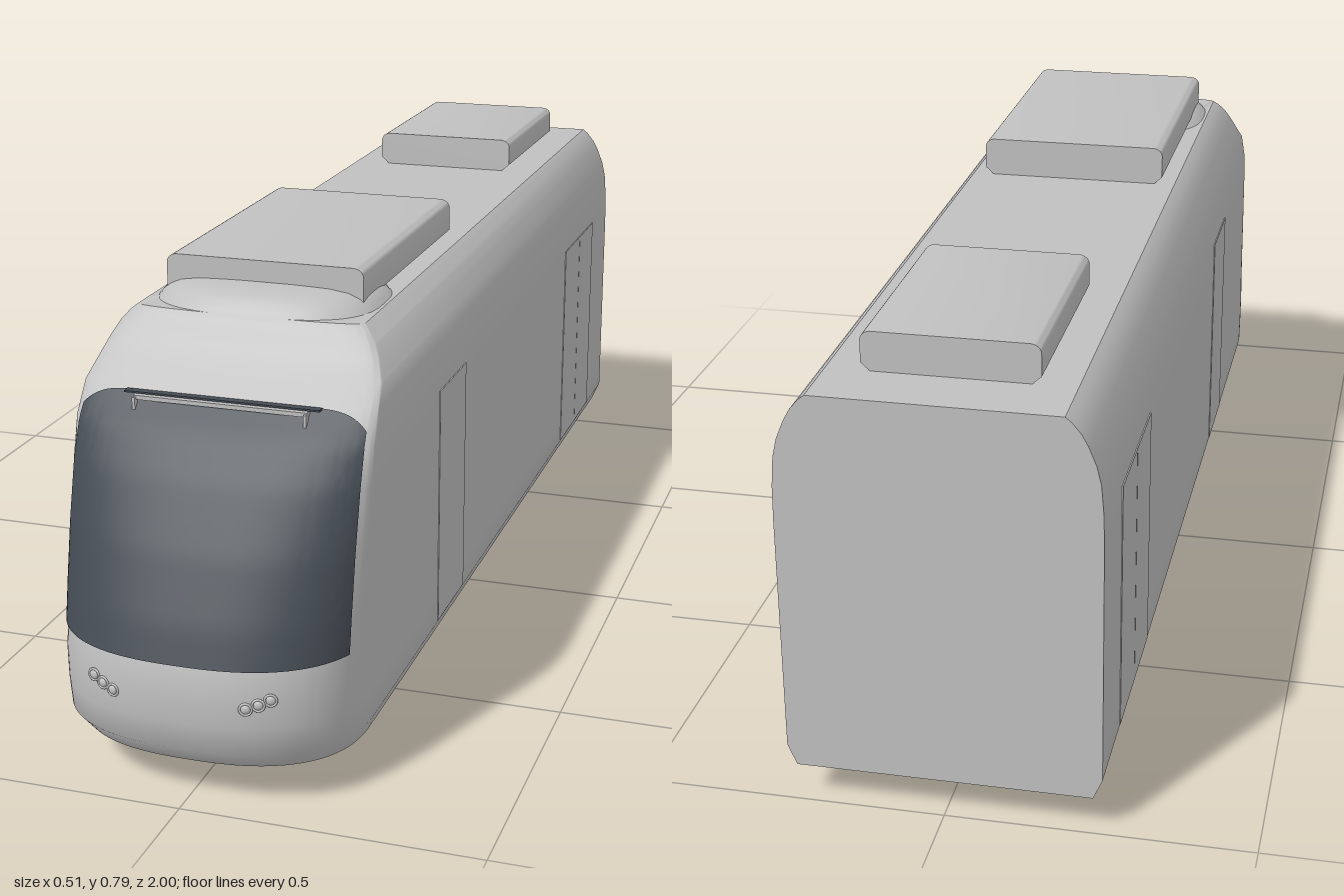
import * as THREE from 'three';
import { toCreasedNormals } from 'three/addons/utils/BufferGeometryUtils.js';

const bodyGrey = new THREE.MeshStandardMaterial({ color: 0xc0c0c0 });
bodyGrey.name = 'bodyGrey';
const darkGlass = new THREE.MeshStandardMaterial({ color: 0x454c54 });
darkGlass.name = 'darkGlass';

// body rows: height, half width, nose z, depth of the nose rounding
const ROWS = [
  [0.065, 0.24, 0.958, 0.2], [0.1, 0.255, 0.99, 0.22], [0.15, 0.255, 0.998, 0.22],
  [0.2, 0.255, 1, 0.22], [0.245, 0.255, 0.992, 0.22], [0.3, 0.255, 0.972, 0.2],
  [0.4, 0.255, 0.925, 0.15], [0.5, 0.255, 0.867, 0.09], [0.56, 0.254, 0.822, 0.05],
  [0.61, 0.25, 0.772, 0.025], [0.64, 0.243, 0.728, 0.022], [0.67, 0.231, 0.702, 0.02],
  [0.69, 0.22, 0.69, 0.02], [0.707, 0.206, 0.678, 0.02], [0.715, 0.196, 0.67, 0.02],
];

function rowAt(y) {
  let i = 0;
  while (i < ROWS.length - 2 && ROWS[i + 1][0] < y) i++;
  const t = (y - ROWS[i][0]) / (ROWS[i + 1][0] - ROWS[i][0]);
  return ROWS[i].map((v, k) => THREE.MathUtils.lerp(v, ROWS[i + 1][k], t));
}

const pow = (v, e) => Math.sign(v) * Math.abs(v) ** e;

// point on the nose at height y; angle runs from the left side to the right
function nosePoint(y, angle, grow = 0) {
  const [, w, f, d] = rowAt(y);
  return [(w + grow) * pow(Math.cos(angle), 0.8), y, f - d + (d + grow) * pow(Math.sin(angle), 0.8)];
}

// skin stretched over rows of points, lowest row first
function loft(rows, closed, caps) {
  const n = rows[0].length, pos = rows.flat(2), index = [];
  for (let i = 0; i < rows.length - 1; i++) {
    for (let j = 0; j < (closed ? n : n - 1); j++) {
      const a = i * n + j, b = i * n + (j + 1) % n;
      index.push(a, a + n, b, b, a + n, b + n);
    }
  }
  if (caps) {
    [0, rows.length - 1].forEach((r) => {
      const c = pos.length / 3, row = rows[r];
      const zs = row.map((p) => p[2]);
      pos.push(0, row[0][1], (Math.min(...zs) + Math.max(...zs)) / 2);
      for (let j = 0; j < n; j++) {
        const a = r * n + j, b = r * n + (j + 1) % n;
        if (r === 0) index.push(c, a, b);
        else index.push(c, b, a);
      }
    });
  }
  const g = new THREE.BufferGeometry();
  g.setAttribute('position', new THREE.Float32BufferAttribute(pos, 3));
  g.setIndex(index);
  return toCreasedNormals(g, 0.6);
}

export function createModel() {
  const model = new THREE.Group();
  model.name = 'tram';
  const add = (name, geometry, material = bodyGrey, x = 0, y = 0, z = 0) => {
    const m = new THREE.Mesh(geometry, material);
    m.name = name;
    m.position.set(x, y, z);
    model.add(m);
    return m;
  };
  const box = (name, w, h, d, x, y, z, mat) => add(name, new THREE.BoxGeometry(w, h, d), mat, x, y, z);

  // body shell with a flat back and a rounded, raked nose
  const SEG = 64;
  add('body', loft(ROWS.map(([y, w]) => {
    const ring = [[w, y, -1]];
    for (let j = 0; j <= SEG; j++) ring.push(nosePoint(y, (Math.PI * j) / SEG));
    ring.push([-w, y, -1]);
    return ring;
  }), true, true));

  // windscreen, following the nose with rounded top corners
  const glassRows = [];
  for (let i = 0; i <= 24; i++) {
    const row = [];
    for (let j = 0; j <= 48; j++) {
      const a = THREE.MathUtils.lerp(0.39, Math.PI - 0.39, j / 48);
      const top = 0.609 - 0.028 * Math.abs(Math.cos(a) / Math.cos(0.39)) ** 8;
      row.push(nosePoint(THREE.MathUtils.lerp(0.245, top, i / 24), a, 0.003));
    }
    glassRows.push(row);
  }
  add('windscreen', loft(glassRows, false, false), darkGlass);

  // bar across the top of the windscreen
  box('windscreenBar', 0.294, 0.007, 0.016, 0, 0.602, 0.786);
  box('windscreenBarTrim', 0.33, 0.003, 0.014, 0, 0.608, 0.78, darkGlass);
  for (const s of [1, -1]) box('windscreenBarEnd', 0.005, 0.02, 0.012, s * 0.1445, 0.593, 0.793);

  // low fairing in front of the forward roof unit
  const fairing = [[0.71, 1], [0.722, 0.95], [0.734, 0.88], [0.742, 0.79], [0.747, 0.64], [0.749, 0.4]];
  add('roofFairing', loft(fairing.map(([y, s]) => Array.from({ length: 48 }, (_, j) => {
    const a = (j / 48) * Math.PI * 2;
    return [0.195 * s * pow(Math.cos(a), 0.7), y, 0.53 + 0.145 * s * pow(Math.sin(a), 0.7)];
  }), ), true, true));

  // roof units with softened upper edges
  const roofUnit = (name, w, top, z0, z1) => {
    const s = new THREE.Shape();
    s.moveTo(-w + 0.02, 0.71);
    s.lineTo(w - 0.02, 0.71);
    s.lineTo(w, 0.728);
    s.lineTo(w, top - 0.014);
    s.quadraticCurveTo(w - 0.002, top - 0.002, w - 0.016, top);
    s.lineTo(-w + 0.016, top);
    s.quadraticCurveTo(-w + 0.002, top - 0.002, -w, top - 0.014);
    s.lineTo(-w, 0.728);
    const g = new THREE.ExtrudeGeometry(s, { depth: z1 - z0, bevelEnabled: false, curveSegments: 6 });
    add(name, toCreasedNormals(g, 0.5), bodyGrey, 0, 0, z0);
  };
  roofUnit('frontRoofUnit', 0.172, 0.785, 0.07, 0.585);
  roofUnit('rearRoofUnit', 0.14, 0.78, -0.895, -0.51);

  // wheel profile with an inner flange
  const wheelProfile = [[0, 0], [0.064, 0], [0.065, 0.003], [0.064, 0.006], [0.058, 0.009],
    [0.056, 0.024], [0.053, 0.026], [0, 0.026]].map(([r, h]) => new THREE.Vector2(r, h));
  const wheelGeo = toCreasedNormals(new THREE.LatheGeometry(wheelProfile, 40), 0.5);

  for (const s of [1, -1]) {
    // door leaves
    for (const [name, z0, z1] of [['frontDoor', 0.25, 0.418], ['rearDoorLeafA', -0.708, -0.57], ['rearDoorLeafB', -0.846, -0.71]]) {
      box(name, 0.006, 0.43, z1 - z0, s * 0.2535, 0.318, (z0 + z1) / 2);
    }
    // wheels
    for (const z of [0.003, -0.385]) {
      add('wheel', wheelGeo, bodyGrey, s * 0.15, 0.065, z).rotation.z = -s * Math.PI / 2;
    }
    // three round headlights in a slanting row
    for (const [x, y] of [[0.111, 0.185], [0.13, 0.192], [0.148, 0.2]]) {
      const a = Math.acos((x / 0.255) ** 1.25);
      const z = nosePoint(y, a)[2];
      const turn = s * 0.25;
      add('headlightRim', new THREE.TorusGeometry(0.0095, 0.002, 8, 24), bodyGrey, s * x, y, z + 0.001).rotation.y = turn;
      const lens = add('headlightLens', new THREE.SphereGeometry(0.008, 20, 12), bodyGrey, s * x, y, z);
      lens.rotation.y = turn;
      lens.scale.z = 0.6;
    }
  }

  // axles and the shallow plate between the wheels
  for (const z of [0.003, -0.385]) {
    add('axle', new THREE.CylinderGeometry(0.01, 0.01, 0.3, 16), bodyGrey, 0, 0.065, z).rotation.z = Math.PI / 2;
  }
  box('underframe', 0.3, 0.01, 0.388, 0, 0.064, -0.191);

  return model;
}
